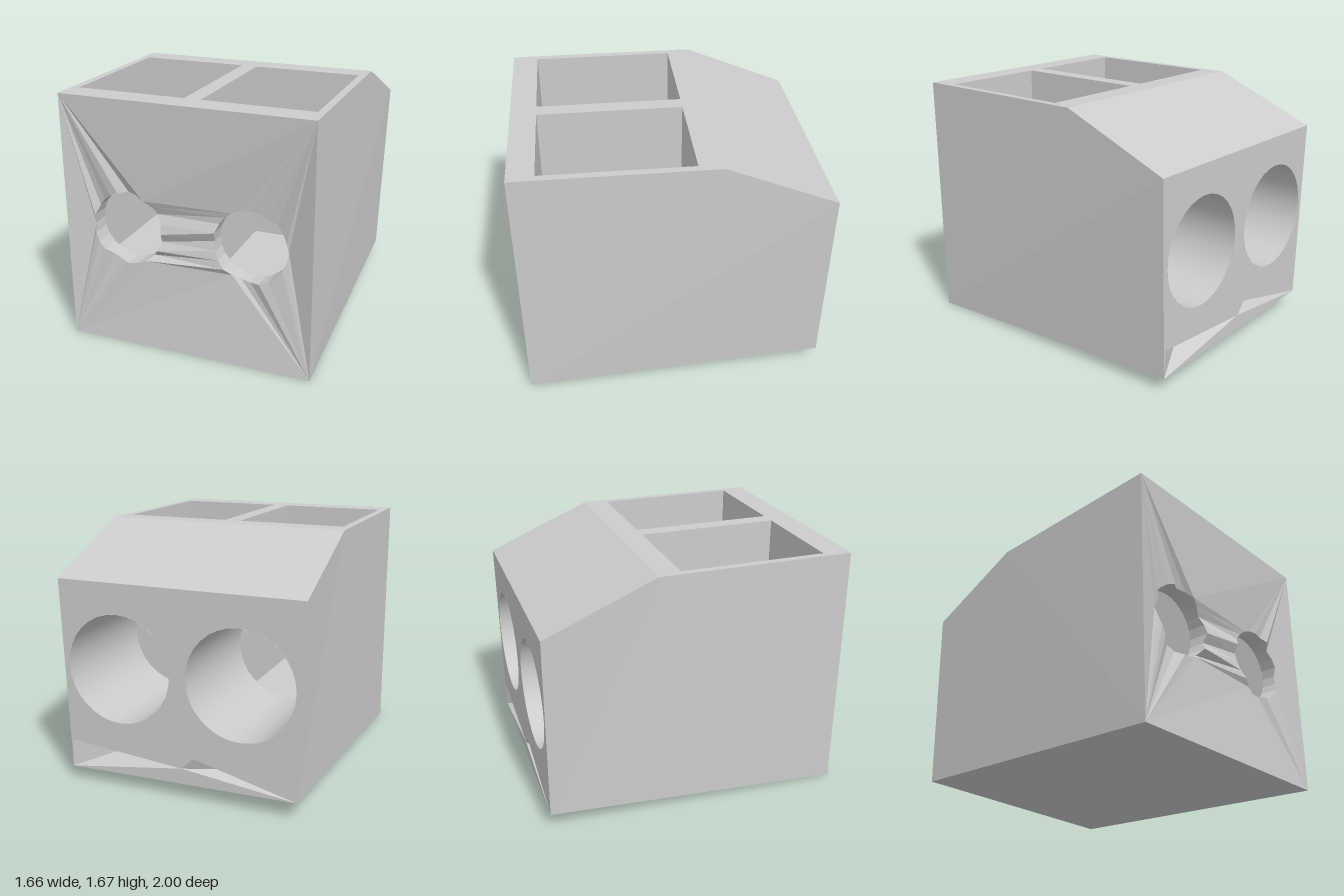
import * as THREE from 'three';

export function createModel() {
  const group = new THREE.Group();
  const grey = new THREE.MeshStandardMaterial({ color: 0xcccccc, side: THREE.DoubleSide });
  grey.name = 'light grey';
  const V = (x, y, z) => new THREE.Vector3(x, y, z);

  const add = (name, geometry) => {
    const mesh = new THREE.Mesh(geometry, grey);
    mesh.name = name;
    group.add(mesh);
    return mesh;
  };
  // Flat polygons, each fanned from its first corner
  const addPolys = (name, polys) => {
    const pts = [];
    for (const p of polys)
      for (let i = 1; i < p.length - 1; i++) pts.push(p[0], p[i], p[i + 1]);
    const g = new THREE.BufferGeometry().setFromPoints(pts);
    g.computeVertexNormals();
    return add(name, g);
  };
  const outline = (pts) => new THREE.Shape(pts.map(([x, y]) => new THREE.Vector2(x, y)));
  const rect = (x0, y0, x1, y1) => outline([[x0, y0], [x1, y0], [x1, y1], [x0, y1]]);
  const circle = (x, y, r) => new THREE.Path().absarc(x, y, r, 0, Math.PI * 2, true);

  let seed = 11;
  const random = () => {
    seed = (seed * 16807) % 2147483647;
    return seed / 2147483647;
  };

  const W = 0.83, H = 1.67, CX = 0.415, CY = 0.81;
  const R_FRONT = 0.24, R_BACK = 0.36, N = 24;
  const wellX0 = 0.055, wellX1 = 0.78, wellBack = -0.125, wellFront = 0.83, floorY = 0.42;
  const left = V(0.79, 0.09, -1), right = V(-0.79, 0.12, -1);

  // Front face: creased sheet pulled in towards two holes
  const makeRing = (s, z) => Array.from({ length: N }, (_, i) => {
    const a = (i / N) * Math.PI * 2;
    return V(s * (CX + R_FRONT * Math.cos(a)), CY + R_FRONT * Math.sin(a), z());
  });
  const rings = {}, front = [];
  for (const s of [1, -1]) {
    const ring = rings[s] = makeRing(s, () => 0.92 + random() * 0.05);
    const inner = makeRing(s, () => wellFront);
    const top = V(s * W, H, 1), bottom = V(s * W, 0, 1);
    const turn = (p) => (s > 0 ? p : p.reverse());
    const tunnel = [];
    front.push(turn([top, ring[0], bottom]));
    for (let i = 0; i < N; i++) {
      const j = (i + 1) % N;
      if (i < 8) front.push(turn([top, ring[j], ring[i]]));
      else if (i >= 16) front.push(turn([bottom, ring[j], ring[i]]));
      tunnel.push(turn([ring[i], ring[j], inner[j], inner[i]]));
    }
    addPolys(s > 0 ? 'leftFrontHole' : 'rightFrontHole', tunnel);
  }
  const [r, l] = [rings[1], rings[-1]];
  front.push([V(W, H, 1), V(-W, H, 1), l[8], r[8]]);
  front.push([V(-W, 0, 1), V(W, 0, 1), r[16], l[16]]);
  for (let i = 8; i < 16; i++) front.push([r[i], l[i], l[i + 1], r[i + 1]]);
  addPolys('frontFace', front);

  // Sides, sloping rear roof and underside
  for (const s of [1, -1]) {
    const corner = s > 0 ? left : right;
    const side = [V(s * W, H, -0.28), V(s * W, H, 1), V(s * W, 0, 1), corner, V(s * W, 1.37, -1)];
    addPolys(s > 0 ? 'leftSide' : 'rightSide', [s > 0 ? side.reverse() : side]);
  }
  addPolys('rearSlope', [[V(-W, H, -0.28), V(W, H, -0.28), V(W, 1.37, -1), V(-W, 1.37, -1)]]);
  addPolys('underside', [[V(-W, 0, 1), right, left, V(W, 0, 1)]]);

  // Top with two rectangular openings (shape y becomes -z)
  const topShape = rect(-W, -1, W, 0.28);
  for (const s of [1, -1])
    topShape.holes.push(rect(s * wellX0, -wellFront, s * wellX1, -wellBack));
  add('top', new THREE.ShapeGeometry(topShape).rotateX(-Math.PI / 2).translate(0, H, 0));

  // Back face with two large holes and a notched lower edge
  const A = V(0.78, 0.28, -1), B = V(-0.02, 0.21, -1), C = V(-0.10, 0.29, -1);
  const backCorners = [V(W, 1.37, -1), left, A, B, C, right, V(-W, 1.37, -1)];
  const backShape = outline(backCorners.map((p) => [-p.x, p.y]));
  for (const s of [1, -1]) backShape.holes.push(circle(s * CX, CY, R_BACK));
  add('backFace', new THREE.ShapeGeometry(backShape, 32).rotateY(Math.PI).translate(0, 0, -1));
  const notches = [[left, right, B]];
  for (const [a, b, c] of [[left, B, A], [B, right, C]]) {
    const pit = V((a.x + b.x + c.x) / 3, (a.y + b.y + c.y) / 3, -0.88);
    notches.push([a, b, pit], [b, c, pit], [c, a, pit]);
  }
  addPolys('backNotches', notches);

  // Wells and the round tunnels leading out of the back
  for (const s of [1, -1]) {
    const name = s > 0 ? 'left' : 'right';
    const x0 = s > 0 ? wellX0 : -wellX1, x1 = s > 0 ? wellX1 : -wellX0;
    const [f, b] = [wellFront, wellBack];
    addPolys(name + 'WellSidesAndFloor', [
      [V(x0, floorY, f), V(x0, floorY, b), V(x0, H, b), V(x0, H, f)],
      [V(x1, floorY, b), V(x1, floorY, f), V(x1, H, f), V(x1, H, b)],
      [V(x0, floorY, f), V(x1, floorY, f), V(x1, floorY, b), V(x0, floorY, b)],
    ]);
    const backWall = rect(x0, floorY, x1, H);
    backWall.holes.push(circle(s * CX, CY, R_BACK));
    add(name + 'WellBackWall', new THREE.ShapeGeometry(backWall, 32).translate(0, 0, b));
    const frontWall = rect(-x1, floorY, -x0, H);
    frontWall.holes.push(circle(-s * CX, CY, R_FRONT));
    add(name + 'WellFrontWall',
      new THREE.ShapeGeometry(frontWall, N).rotateY(Math.PI).translate(0, 0, f));
    const tube = new THREE.CylinderGeometry(R_BACK, R_BACK, 1 + b, 32, 1, true);
    add(name + 'BackTunnel', tube.rotateX(Math.PI / 2).translate(s * CX, CY, (b - 1) / 2));
  }
  return group;
}
